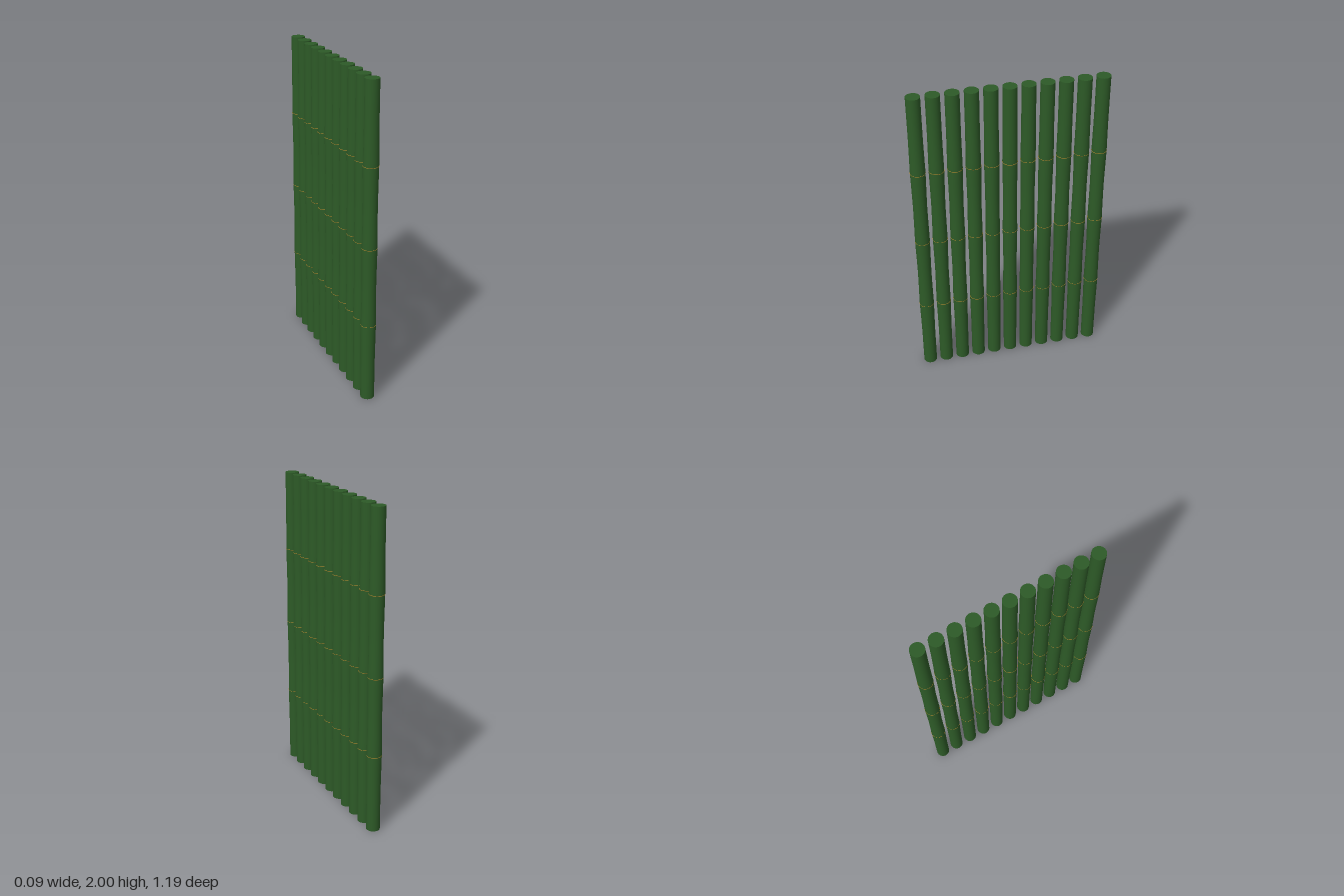
import * as THREE from 'three';

const COUNT = 11, PITCH = 0.11, HEIGHT = 2;
const NODES = [0.5, 1, 1.5];
const R = 0.0425, SWELL = 0.0033;

// Stalk radius: swells gently towards each node
function radiusAt(y) {
  const d = Math.min(...NODES.map((n) => Math.abs(y - n)));
  return R + SWELL * Math.max(0, 1 - d / 0.25) ** 1.3;
}

export function createModel() {
  const model = new THREE.Group();
  model.name = 'stalkFence';
  const green = new THREE.MeshStandardMaterial({ color: 0x2d5a27 });
  const gold = new THREE.MeshStandardMaterial({ color: 0xb8862b });

  // Stalk wall with swollen nodes
  const profile = [];
  for (let i = 0; i <= 40; i++) {
    const y = (i / 40) * HEIGHT;
    profile.push(new THREE.Vector2(radiusAt(y), y));
  }
  const wallGeo = new THREE.LatheGeometry(profile, 32);
  const capGeo = new THREE.CircleGeometry(R, 32);
  const ringGeo = new THREE.TorusGeometry(R + SWELL - 0.0005, 0.0016, 6, 32);

  for (let i = 0; i < COUNT; i++) {
    const stalk = new THREE.Group();
    stalk.name = 'stalk' + (i + 1);
    stalk.position.z = (i - (COUNT - 1) / 2) * PITCH;

    const add = (geo, mat, name, y, rx) => {
      const mesh = new THREE.Mesh(geo, mat);
      mesh.name = name;
      mesh.position.y = y;
      mesh.rotation.x = rx;
      stalk.add(mesh);
    };
    add(wallGeo, green, 'stalkWall', 0, 0);
    add(capGeo, green, 'topCap', HEIGHT, -Math.PI / 2);
    add(capGeo, green, 'bottomCap', 0, Math.PI / 2);
    // Thin bands around the nodes
    for (const y of NODES) add(ringGeo, gold, 'nodeRing', y, Math.PI / 2);
    model.add(stalk);
  }
  return model;
}
